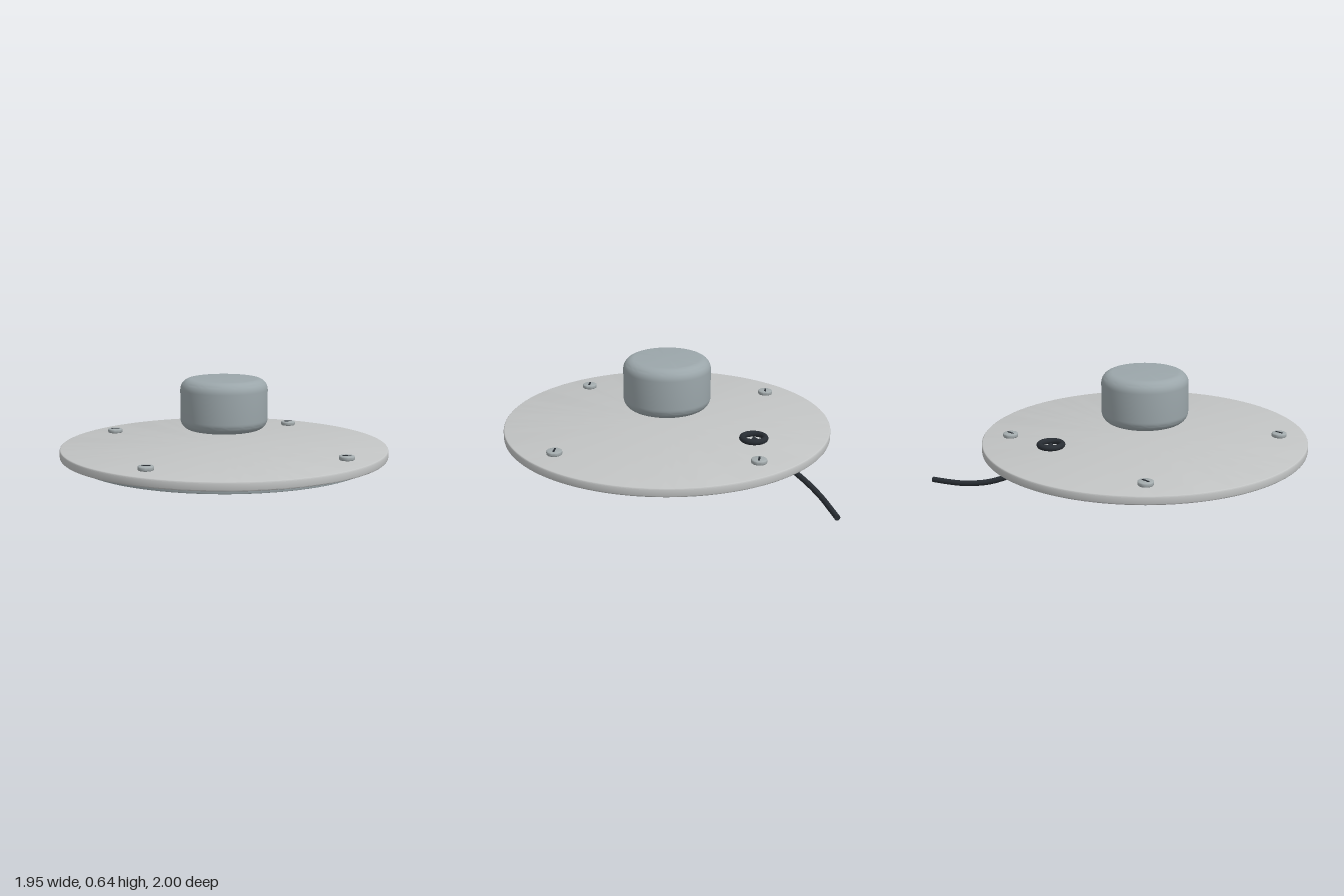
import * as THREE from 'three';
import { toCreasedNormals } from 'three/addons/utils/BufferGeometryUtils.js';

const mat = (name, color) => {
  const m = new THREE.MeshStandardMaterial({ color });
  m.name = name;
  return m;
};

// Solid disc with rounded rims, turned around the y axis
function roundedDisc(radius, y0, y1, bevel, sides, steps) {
  const pts = [new THREE.Vector2(0, y0)];
  const arc = (cy, from) => {
    for (let i = 0; i <= steps; i++) {
      const a = from + (i / steps) * Math.PI / 2;
      pts.push(new THREE.Vector2(radius - bevel + Math.cos(a) * bevel, cy + Math.sin(a) * bevel));
    }
  };
  arc(y0 + bevel, -Math.PI / 2);
  arc(y1 - bevel, 0);
  pts.push(new THREE.Vector2(0, y1));
  return toCreasedNormals(new THREE.LatheGeometry(pts, sides), 0.6);
}

export function createModel() {
  const group = new THREE.Group();
  const plate = mat('pale grey plate', 0xc2c4c4);
  const metal = mat('blue grey metal', 0x9ba6aa);
  const screwMetal = mat('screw grey', 0xa3abad);
  const rubber = mat('black rubber', 0x282d33);
  const cz = 0.02;

  const add = (name, geometry, material, x, y, z, parent = group) => {
    const mesh = new THREE.Mesh(geometry, material);
    mesh.name = name;
    mesh.position.set(x, y, z);
    parent.add(mesh);
    return mesh;
  };

  // Face plate, backing plate and raised knob
  add('facePlate', roundedDisc(0.977, 0.181, 0.233, 0.008, 128, 3), plate, 0, 0, cz);
  add('backingPlate', roundedDisc(0.893, 0.147, 0.185, 0.005, 128, 2), metal, 0, 0, cz);
  add('knob', roundedDisc(0.26, 0.335, 0.638, 0.065, 64, 10), metal, 0, 0, cz);

  // Four slotted screws
  const head = roundedDisc(0.045, 0, 0.025, 0.007, 32, 3);
  const slot = new THREE.BoxGeometry(0.05, 0.006, 0.011);
  for (const sx of [-1, 1]) {
    for (const sz of [-1, 1]) {
      const screw = new THREE.Group();
      screw.name = 'screw';
      screw.position.set(sx * 0.573, 0.232, cz + sz * 0.573);
      add('screwHead', head, screwMetal, 0, 0, 0, screw);
      add('screwSlot', slot, rubber, 0, 0.0245, 0, screw);
      group.add(screw);
    }
  }

  // Cable grommet
  const ring = new THREE.TorusGeometry(0.067, 0.0175, 16, 40);
  ring.rotateX(Math.PI / 2);
  add('grommet', ring, rubber, 0.25, 0.25, -0.511);

  // Cable running through the plate and out at the back
  const path = new THREE.CatmullRomCurve3([
    [0.25, 0.245, -0.5], [0.262, 0.213, -0.565], [0.285, 0.147, -0.655], [0.345, 0.095, -0.745],
    [0.43, 0.056, -0.83], [0.555, 0.031, -0.904], [0.66, 0.022, -0.945], [0.778, 0.018, -0.985],
  ].map((p) => new THREE.Vector3(...p)));
  add('cable', new THREE.TubeGeometry(path, 60, 0.0165, 14), rubber, 0, 0, 0);

  // Flat caps on both cable ends
  for (const t of [0, 1]) {
    const cap = add('cableEnd', new THREE.CircleGeometry(0.0165, 14), rubber, 0, 0, 0);
    const end = path.getPointAt(t);
    cap.position.copy(end);
    cap.lookAt(end.add(path.getTangentAt(t).multiplyScalar(t ? 1 : -1)));
  }
  return group;
}
